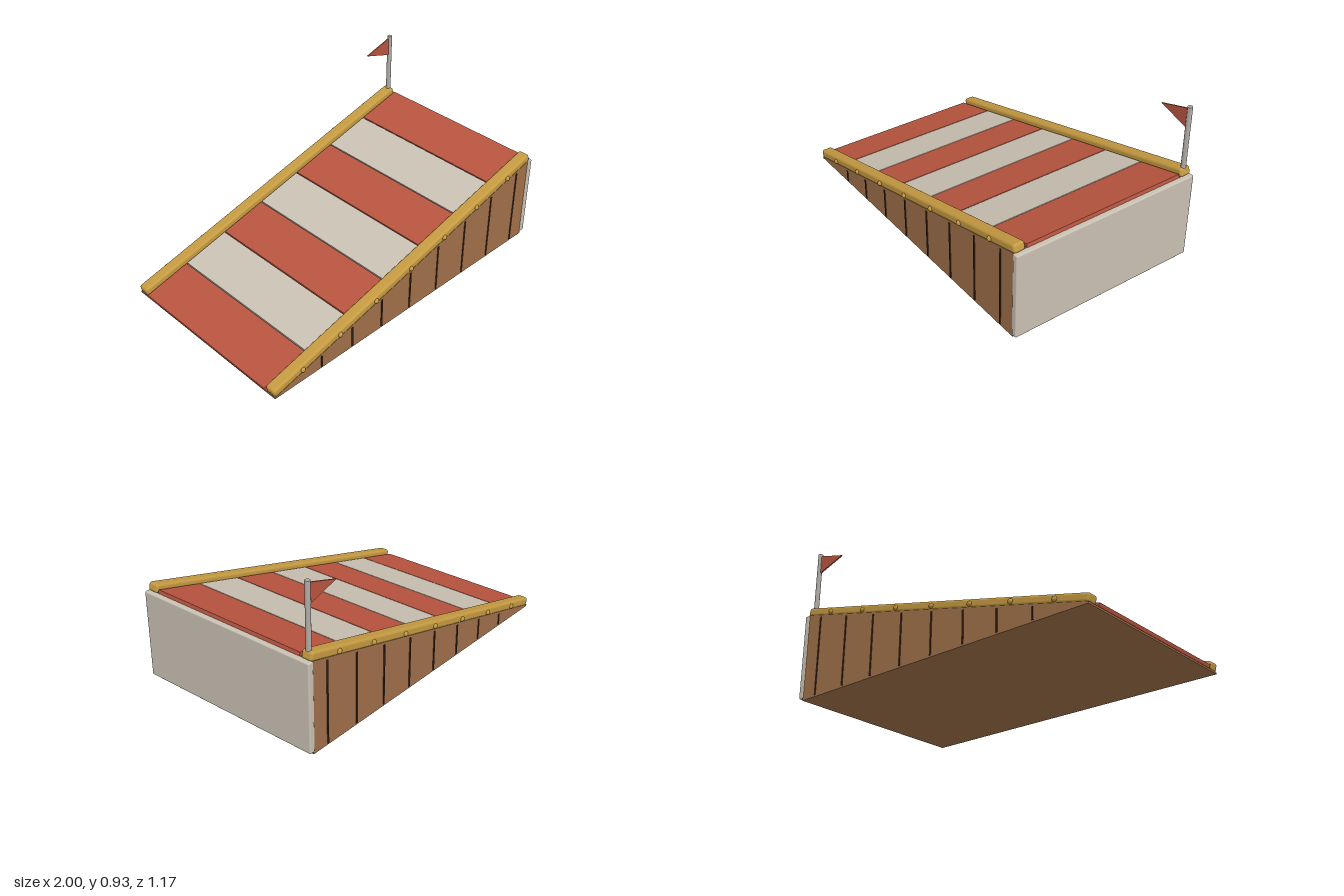
import * as THREE from 'three';
import { RoundedBoxGeometry } from 'three/addons/geometries/RoundedBoxGeometry.js';

const mat = (name, color) => {
  const m = new THREE.MeshStandardMaterial({ color });
  m.name = name;
  return m;
};

export function createModel() {
  const wood = mat('wood', 0xa0704a);
  const groove = mat('dark groove', 0x3d2819);
  const red = mat('red', 0xb95540);
  const cream = mat('cream', 0xcac1b3);
  const gold = mat('gold', 0xc59a41);
  const steel = mat('steel', 0xb0aca6);

  const model = new THREE.Group();
  model.name = 'ramp';
  const add = (name, geometry, material, x = 0, y = 0, z = 0) => {
    const mesh = new THREE.Mesh(geometry, material);
    mesh.name = name;
    mesh.position.set(x, y, z);
    model.add(mesh);
    return mesh;
  };

  // The slope shared by body, deck and rails
  const slope = 0.2614;
  const angle = Math.atan(slope);
  const railY = (x) => 0.287 + slope * (x + 0.01);

  // Wedge body
  const side = new THREE.Shape([
    new THREE.Vector2(-0.99, 0), new THREE.Vector2(0.97, 0),
    new THREE.Vector2(0.97, 0.522), new THREE.Vector2(-0.99, 0.01),
  ]);
  const body = new THREE.ExtrudeGeometry(side, { depth: 1.136, bevelEnabled: false });
  body.translate(0, 0, -0.568);
  add('body', body, wood);

  // End panel
  add('endPanel', new RoundedBoxGeometry(0.036, 0.507, 1.144, 2, 0.008), cream, 0.982, 0.267, 0);

  // Striped deck boards
  const pitch = 0.282;
  for (let i = 0; i < 7; i++) {
    const x = -0.999 + pitch * (i + 0.5);
    const board = new THREE.BoxGeometry((pitch - 0.006) / Math.cos(angle), 0.02, 0.985);
    add('deckBoard', board, i % 2 ? cream : red, x, railY(x) - 0.011, 0).rotation.z = angle;
  }

  for (const s of [1, -1]) {
    // Rounded edge rails
    const rail = new RoundedBoxGeometry(2.034, 0.05, 0.068, 3, 0.015);
    add('rail', rail, gold, -0.01, 0.287, s * 0.536).rotation.z = angle;

    // Rail studs
    for (let i = 0; i < 7; i++) {
      const x = -0.802 + i * 0.2635;
      add('stud', new THREE.SphereGeometry(0.015, 12, 8), gold, x, railY(x) - 0.003, s * 0.569);
    }

    // Plank seams on the side walls
    for (let i = 0; i < 8; i++) {
      const x = -0.67 + i * 0.2195;
      const h = railY(x) - 0.035;
      add('plankSeam', new THREE.BoxGeometry(0.01, h - 0.01, 0.008), groove, x, 0.01 + (h - 0.01) / 2, s * 0.568);
    }
  }

  // Flag and pole
  add('flagPole', new THREE.CylinderGeometry(0.014, 0.014, 0.405, 16), steel, 0.955, 0.7225, -0.534);
  const pennant = new THREE.Shape([
    new THREE.Vector2(0.95, 0.913), new THREE.Vector2(0.76, 0.856), new THREE.Vector2(0.95, 0.797),
  ]);
  add('flag', new THREE.ExtrudeGeometry(pennant, { depth: 0.008, bevelEnabled: false }), red, 0, 0, -0.538);

  return model;
}
